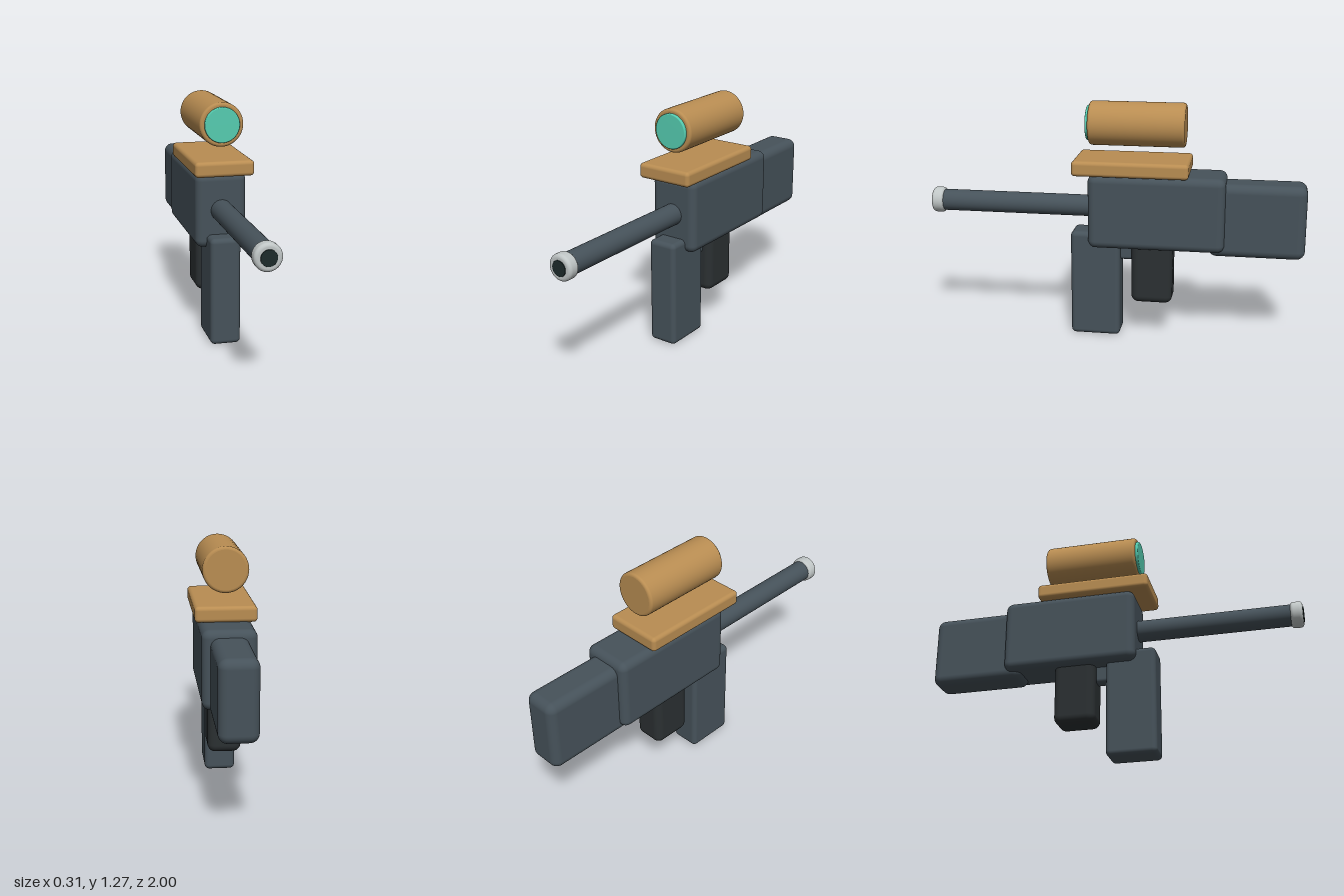
import * as THREE from 'three';
import { RoundedBoxGeometry } from 'three/addons/geometries/RoundedBoxGeometry.js';

export function createModel() {
  const model = new THREE.Group();
  const mat = (color) => new THREE.MeshStandardMaterial({ color });
  const slate = mat(0x46525a), charcoal = mat(0x2b3032), bronze = mat(0xb98d52);
  const silver = mat(0xc0c6c6), dark = mat(0x1d2b2b), teal = mat(0x55ccb0);

  const add = (name, geometry, material) => {
    const mesh = new THREE.Mesh(geometry, material);
    mesh.name = name;
    model.add(mesh);
    return mesh;
  };

  // Rounded block centred on x, given by its half width and its y and z ranges
  const block = (name, halfX, [y0, y1], [z0, z1], radius, material) => {
    const geometry = new RoundedBoxGeometry(halfX * 2, y1 - y0, z1 - z0, 5, radius);
    add(name, geometry, material).position.set(0, (y0 + y1) / 2, (z0 + z1) / 2);
  };

  // Solid cylinder along z with rounded rims
  const rod = (name, radius, y, [z0, z1], bevel, material) => {
    const points = [new THREE.Vector2(0, z0), new THREE.Vector2(radius - bevel, z0)];
    const arc = (z, start) => {
      for (let i = 0; i <= 5; i++) {
        const a = start + (i / 5) * Math.PI / 2;
        points.push(new THREE.Vector2(radius - bevel + bevel * Math.cos(a), z + bevel * Math.sin(a)));
      }
    };
    arc(z0 + bevel, -Math.PI / 2);
    arc(z1 - bevel, 0);
    points.push(new THREE.Vector2(0, z1));
    const geometry = new THREE.LatheGeometry(points, 48).rotateX(Math.PI / 2);
    add(name, geometry, material).position.y = y;
  };

  // Main blocks
  block('body', 0.134, [0.505, 0.9], [-0.585, 0.13], 0.04, slate);
  block('stock', 0.094, [0.475, 0.865], [-1, -0.5], 0.045, slate);
  block('frontHandle', 0.08, [0, 0.577], [-0.035, 0.23], 0.025, slate);
  block('grip', 0.085, [0.195, 0.56], [-0.315, -0.095], 0.04, charcoal);
  block('trigger', 0.035, [0.42, 0.54], [-0.12, 0], 0.02, slate);

  // Barrel and its tip
  rod('barrel', 0.057, 0.705, [0.08, 0.96], 0.005, slate);
  rod('barrelRing', 0.068, 0.705, [0.932, 0.996], 0.018, silver);
  rod('barrelOpening', 0.04, 0.705, [0.97, 1], 0.002, dark);

  // Sight and mounting plate
  block('mountingPlate', 0.155, [0.897, 0.977], [-0.397, 0.21], 0.02, bronze);
  rod('sightTube', 0.115, 1.153, [-0.37, 0.132], 0.015, bronze);
  rod('sightLens', 0.092, 1.153, [0.11, 0.147], 0.006, teal);

  return model;
}
